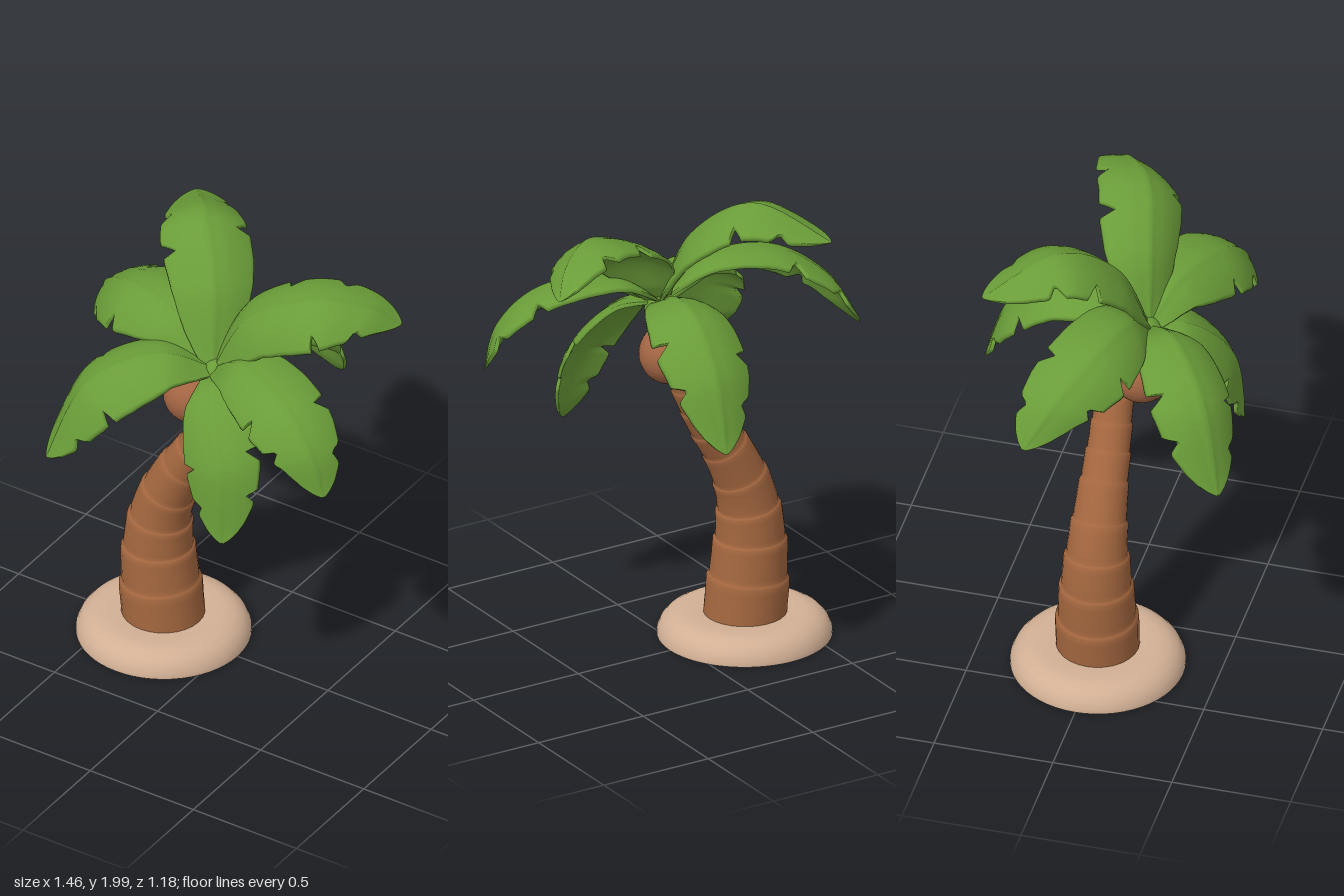
import * as THREE from 'three';

const V = (x, y, z) => new THREE.Vector3(x, y, z);
const UP = V(0, 1, 0);

// Skin closed rings of points (counter-clockwise about the path) into a smooth surface
function loft(rings) {
  const n = rings[0].length, index = [];
  for (let i = 0; i < rings.length - 1; i++) {
    for (let j = 0; j < n; j++) {
      const k = (j + 1) % n;
      const a = i * n + j, b = i * n + k, c = a + n, d = b + n;
      index.push(a, b, c, b, d, c);
    }
  }
  const g = new THREE.BufferGeometry().setFromPoints(rings.flat());
  g.setIndex(index);
  g.computeVertexNormals();
  return g;
}

// Linear lookup in a list of [t, value] pairs
function ramp(keys, t) {
  for (let i = 1; i < keys.length; i++) {
    const [t0, a] = keys[i - 1], [t1, b] = keys[i];
    if (t <= t1) return THREE.MathUtils.mapLinear(t, t0, t1, a, b);
  }
  return keys[keys.length - 1][1];
}

// Curved tapering trunk with overlapping bark bands
function trunkGeometry() {
  const path = new THREE.CatmullRomCurve3([
    V(-0.295, 0.05, 0), V(-0.312, 0.25, 0), V(-0.322, 0.45, 0), V(-0.3, 0.62, 0),
    V(-0.228, 0.8, 0), V(-0.11, 1.0, 0), V(-0.015, 1.2, 0), V(0.025, 1.36, 0.02), V(0.03, 1.46, 0.08)]);
  const radius = [[0, 0.175], [0.14, 0.164], [0.27, 0.144], [0.39, 0.121], [0.52, 0.102], [0.67, 0.087], [0.82, 0.074], [0.9, 0.065], [1, 0.04]];
  const seams = [0, 0.14, 0.25, 0.345, 0.445, 0.555, 0.635, 0.715, 0.79, 0.89, 1];
  const profile = [[0, 0.965], [0.12, 0.985], [0.45, 1], [0.78, 1.03], [0.92, 1.035], [0.98, 1]];
  const rings = [];
  for (let b = 0; b < seams.length - 1; b++) {
    for (const [f, swell] of profile) {
      const t = THREE.MathUtils.lerp(seams[b], seams[b + 1], f);
      const p = path.getPointAt(t), T = path.getTangentAt(t);
      const S = V(0, 0, 1), N = T.clone().cross(S).normalize();
      const r = ramp(radius, t) * swell;
      rings.push(Array.from({ length: 28 }, (_, j) => {
        const a = j / 28 * Math.PI * 2;
        return p.clone().addScaledVector(S, r * Math.cos(a)).addScaledVector(N, r * Math.sin(a));
      }));
    }
  }
  return loft(rings);
}

// Broad drooping leaf with a raised midrib and notched edges
const WIDTH = [[0, 0.04], [0.06, 0.075], [0.14, 0.115], [0.22, 0.143], [0.32, 0.166], [0.45, 0.182], [0.58, 0.184],
  [0.7, 0.17], [0.8, 0.144], [0.88, 0.11], [0.94, 0.073], [0.98, 0.036], [1, 0.008]];
const ACROSS = [1, 0.95, 0.8, 0.55, 0.3, 0.1, 0, -0.1, -0.3, -0.55, -0.8, -0.95, -1];
const NOTCHES = { 1: [0.6, 0.82], [-1]: [0.5, 0.73] };

function halfWidth(t, side) {
  let w = ramp(WIDTH, t);
  for (const n of NOTCHES[side]) {
    const d = t - n;
    const cut = d < 0 ? 1 + d / 0.025 : 1 - d / 0.05;
    if (cut > 0) w *= 1 - 0.28 * cut;
  }
  return w;
}

function frondGeometry(points, roll, breadth, flip) {
  const path = new THREE.CatmullRomCurve3(points);
  const chord = points[points.length - 1].clone().sub(points[0]).setY(0).normalize();
  const level = UP.clone().cross(chord);
  const rings = [], steps = 80;
  for (let i = 0; i <= steps; i++) {
    const t = i / steps;
    const p = path.getPointAt(t), T = path.getTangentAt(t);
    const S = level.clone().applyAxisAngle(T, roll), N = T.clone().cross(S).normalize();
    const scale = Math.min(1, ramp(WIDTH, t) / 0.1);
    const at = (u, under) => {
      const x = u * breadth * halfWidth(t, (u < 0 ? -1 : 1) * flip);
      const ridge = 0.008 * Math.max(0, 1 - Math.abs(u) / 0.11);
      const thick = 0.016 + 0.018 * (1 - u * u);
      const v = -2.5 * x * x + scale * (under ? -thick : ridge);
      return p.clone().addScaledVector(S, x).addScaledVector(N, v);
    };
    rings.push([...ACROSS.map(u => at(u, false)), ...ACROSS.map(u => at(-u, true))]);
  }
  return loft(rings);
}

export function createModel() {
  const mat = (name, color) => new THREE.MeshStandardMaterial({ name, color });
  const leaf = mat('leafGreen', 0x6a9c38);
  const bark = mat('barkBrown', 0xa4673f);
  const husk = mat('huskBrown', 0xa46644);
  const sand = mat('sand', 0xd2b095);
  const model = new THREE.Group();
  model.name = 'palmTree';
  const add = (name, geometry, material, x = 0, y = 0, z = 0) => {
    const m = new THREE.Mesh(geometry, material);
    m.name = name;
    m.position.set(x, y, z);
    model.add(m);
  };

  // Sand mound with a rounded rim, and its flat underside
  const rim = [[0.358, 0], [0.357, 0.02], [0.344, 0.05], [0.322, 0.075], [0.29, 0.093], [0.25, 0.1], [0.2, 0.098], [0, 0.09]];
  add('sandMound', new THREE.LatheGeometry(rim.map(([x, y]) => new THREE.Vector2(x, y)), 56), sand, -0.296);
  add('sandUnderside', new THREE.CircleGeometry(0.358, 56).rotateX(Math.PI / 2), sand, -0.296);

  add('trunk', trunkGeometry(), bark);

  // Coconuts
  add('coconutFront', new THREE.SphereGeometry(0.125, 32, 20), husk, -0.07, 1.335, 0.125);
  add('coconutSide', new THREE.SphereGeometry(0.127, 32, 20), husk, 0.065, 1.325, -0.005);

  // Leafy crown joining the fronds
  add('crown', new THREE.SphereGeometry(0.07, 20, 14), leaf, 0.035, 1.465, 0.11);

  // Fronds: sideways roll, breadth, points along the midrib ending at the tip
  const hub = V(0.03, 1.5, 0.13);
  const fronds = {
    backRightFrond: [0, 1, V(-0.05, 1.82, 0.01), V(-0.22, 1.985, -0.18), V(-0.43, 1.87, -0.45)],
    backFrond: [0, 1, V(0.08, 1.6, -0.09), V(0.12, 1.595, -0.28), V(0.145, 1.43, -0.48), V(0.16, 1.12, -0.595)],
    upperLeftFrond: [0.35, 1, V(0.18, 1.775, 0.09), V(0.44, 1.91, 0.01), V(0.62, 1.875, -0.11), V(0.72, 1.785, -0.21)],
    lowerLeftFrond: [0.4, 0.95, V(0.2, 1.62, 0.2), V(0.49, 1.59, 0.32), V(0.65, 1.45, 0.37), V(0.72, 1.265, 0.37)],
    frontFrond: [0.35, 0.86, V(0.11, 1.475, 0.27), V(0.24, 1.26, 0.42), V(0.285, 0.92, 0.46)],
    frontRightFrond: [-0.2, 1, V(-0.13, 1.585, 0.27), V(-0.36, 1.47, 0.45), V(-0.5, 1.11, 0.56)],
    rightFrond: [-0.4, 1, V(-0.18, 1.665, 0.1), V(-0.44, 1.675, 0.025), V(-0.63, 1.55, -0.09), V(-0.72, 1.355, -0.2)],
  };
  Object.entries(fronds).forEach(([name, [roll, breadth, ...pts]], i) =>
    add(name, frondGeometry([hub, ...pts], roll, breadth, i % 2 ? 1 : -1), leaf));

  return model;
}
